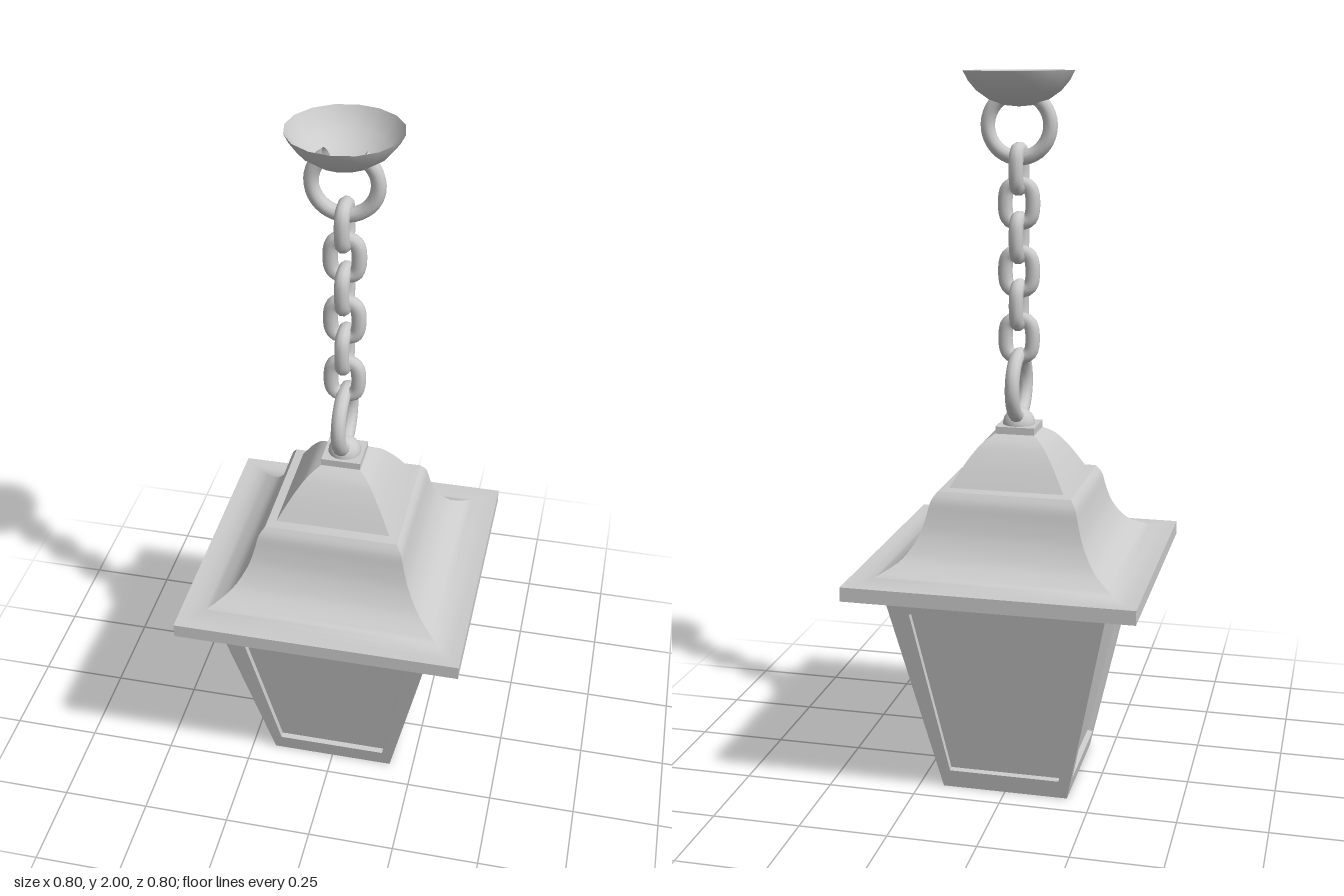
import * as THREE from 'three';
import { toCreasedNormals } from 'three/addons/utils/BufferGeometryUtils.js';

const material = new THREE.MeshStandardMaterial({ color: 0xcccccc, side: THREE.DoubleSide });
const v2 = (p) => new THREE.Vector2(p[0], p[1]);

function addMesh(parent, name, geometry) {
  const mesh = new THREE.Mesh(geometry, material);
  mesh.name = name;
  parent.add(mesh);
  return mesh;
}

// Square loft: each profile point is [half width, height]
function squareLoft(points, crease = 0.6) {
  const profile = points.map(([h, y]) => new THREE.Vector2(h * Math.SQRT2, y));
  return toCreasedNormals(new THREE.LatheGeometry(profile, 4, Math.PI / 4), crease);
}

function smooth(points, n) {
  return new THREE.SplineCurve(points.map(v2)).getPoints(n).map((p) => [p.x, p.y]);
}

// Frame with a recessed panel; corners run counter-clockwise seen from outside
function framedPanel(outer, inner, depth) {
  const n = new THREE.Vector3().crossVectors(
    outer[1].clone().sub(outer[0]), outer[3].clone().sub(outer[0])).normalize();
  const sunk = inner.map((p) => p.clone().addScaledVector(n, -depth));
  const pos = [];
  const quad = (a, b, c, d) => [a, b, c, a, c, d].forEach((p) => pos.push(p.x, p.y, p.z));
  for (let i = 0; i < 4; i++) {
    const j = (i + 1) % 4;
    quad(outer[i], outer[j], inner[j], inner[i]);
    quad(inner[i], inner[j], sunk[j], sunk[i]);
  }
  quad(...sunk);
  const g = new THREE.BufferGeometry();
  g.setAttribute('position', new THREE.Float32BufferAttribute(pos, 3));
  g.computeVertexNormals();
  return g;
}

function lanternBody() {
  const body = new THREE.Group();
  body.name = 'lanternBody';
  const half = (y) => 0.18 + 0.13 * y / 0.62;
  const trapezoid = (y0, w0, y1, w1) => [[-w0, y0], [w0, y0], [w1, y1], [-w1, y1]]
    .map(([x, y]) => new THREE.Vector3(x, y, half(y)));
  const side = framedPanel(
    trapezoid(0, half(0), 0.62, half(0.62)),
    trapezoid(0.055, 0.158, 0.56, 0.24), 0.016);
  for (let i = 0; i < 4; i++) addMesh(body, 'sidePanel', side).rotation.y = i * Math.PI / 2;

  const square = (h) => [[-h, -h], [h, -h], [h, h], [-h, h]]
    .map(([x, z]) => new THREE.Vector3(x, 0, z));
  addMesh(body, 'bottomPanel', framedPanel(square(0.18), square(0.145), 0.016));
  return body;
}

function roof() {
  const group = new THREE.Group();
  group.name = 'roof';
  // Brim and flared lower roof
  const flare = smooth([[0.4, 0.66], [0.35, 0.66], [0.3, 0.682], [0.262, 0.71],
    [0.23, 0.76], [0.213, 0.81], [0.202, 0.855], [0.186, 0.88]], 24);
  addMesh(group, 'flaredRoof', squareLoft([[0.3, 0.62], [0.4, 0.62], ...flare, [0.14, 0.885]]));
  // Domed upper cap
  const dome = smooth([[0.16, 0.885], [0.137, 0.925], [0.115, 0.96],
    [0.085, 0.998], [0.05, 1.022]], 12);
  addMesh(group, 'roofCap', squareLoft([...dome, [0.01, 1.025]]));
  // Finial holding the lower ring
  addMesh(group, 'finialBase', new THREE.BoxGeometry(0.11, 0.024, 0.11)).position.y = 1.027;
  const knob = new THREE.SphereGeometry(0.046, 16, 8, 0, Math.PI * 2, 0, Math.PI / 2);
  addMesh(group, 'finialKnob', knob).position.y = 1.038;
  return group;
}

function chain() {
  const group = new THREE.Group();
  group.name = 'chain';
  // Squarish links, alternately turned by a quarter
  const path = [[0.035, -0.032], [0.035, 0.032], [0.023, 0.048], [0, 0.052], [-0.023, 0.048],
    [-0.035, 0.032], [-0.035, -0.032], [-0.023, -0.048], [0, -0.052], [0.023, -0.048]]
    .map(([x, y]) => new THREE.Vector3(x, y, 0));
  const curve = new THREE.CatmullRomCurve3(path, true);
  const link = new THREE.TubeGeometry(curve, 32, 0.02, 10, true);
  for (let i = 0; i < 6; i++) {
    const mesh = addMesh(group, 'chainLink', link);
    mesh.position.y = 1.742 - i * 0.0922;
    mesh.rotation.y = i % 2 ? 0 : Math.PI / 2;
  }

  const lower = addMesh(group, 'lowerRing', new THREE.TorusGeometry(0.086, 0.02, 10, 32));
  lower.position.y = 1.148;
  lower.rotation.y = Math.PI / 2;

  // Upper ring is open at the top, its ends poking into the canopy
  const gap = 1.14;
  const upper = addMesh(group, 'upperRing',
    new THREE.TorusGeometry(0.086, 0.02, 10, 32, Math.PI * 2 - gap));
  upper.position.y = 1.857;
  upper.rotation.z = Math.PI / 2 + gap / 2;
  return group;
}

export function createModel() {
  const model = new THREE.Group();
  model.name = 'hangingLantern';
  model.add(lanternBody(), roof(), chain());
  // Open ceiling bowl
  const bowl = [[0, 1.906], [0.04, 1.91], [0.08, 1.924], [0.115, 1.948], [0.138, 1.975], [0.151, 2]];
  addMesh(model, 'ceilingBowl', new THREE.LatheGeometry(bowl.map(v2), 16));
  return model;
}
